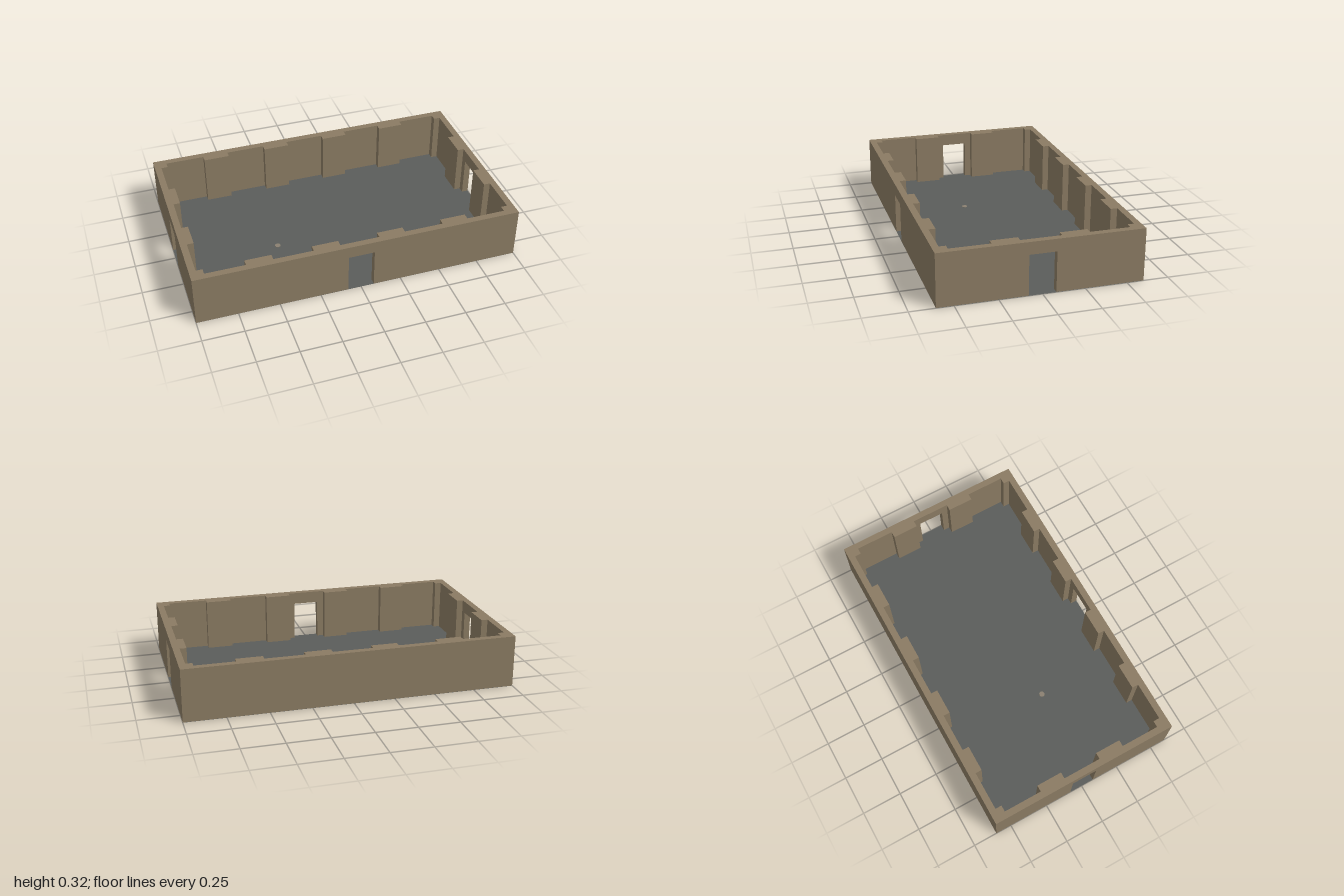
import * as THREE from 'three';

const H = 0.32, HALF_X = 1, HALF_Z = 0.6, T = 0.04; // wall height, half sizes, shell thickness
const BASE = 0.001; // walls rest just above the floor sheet
const DOOR_W = 0.16, DOOR_H = 0.245;

export function createModel() {
  const wallMat = new THREE.MeshStandardMaterial({ color: 0x8b7b63 });
  wallMat.name = 'sandstone';
  const floorMat = new THREE.MeshStandardMaterial({ color: 0x5a5d5a, side: THREE.DoubleSide });
  floorMat.name = 'slate';
  const markMat = new THREE.MeshStandardMaterial({ color: 0x8a8071 });
  markMat.name = 'pebble';

  const room = new THREE.Group();
  room.name = 'room';

  const add = (parent, name, geometry, material) => {
    const mesh = new THREE.Mesh(geometry, material);
    mesh.name = name;
    parent.add(mesh);
    return mesh;
  };

  // One wall: a thin shell with an optional doorway, and pilasters on its inner face.
  // Local +z points outwards; the outer face lies at z = 0.
  function makeWall(name, halfLength, pilasters, hasDoor) {
    const wall = new THREE.Group();
    wall.name = name;
    const shape = new THREE.Shape();
    shape.moveTo(-halfLength, BASE);
    if (hasDoor) {
      shape.lineTo(-DOOR_W / 2, BASE);
      shape.lineTo(-DOOR_W / 2, DOOR_H);
      shape.lineTo(DOOR_W / 2, DOOR_H);
      shape.lineTo(DOOR_W / 2, BASE);
    }
    shape.lineTo(halfLength, BASE);
    shape.lineTo(halfLength, H);
    shape.lineTo(-halfLength, H);
    const shell = new THREE.ExtrudeGeometry(shape, { depth: T, bevelEnabled: false });
    add(wall, 'wallShell', shell.translate(0, 0, -T), wallMat);
    for (const x of pilasters) {
      const box = new THREE.BoxGeometry(0.16, H - BASE, T);
      add(wall, 'pilaster', box, wallMat).position.set(x, (H + BASE) / 2, -1.5 * T);
    }
    room.add(wall);
    return wall;
  }

  // Long walls, doorway in the front one only
  const longPilasters = [-0.6, -0.2, 0.2, 0.6];
  makeWall('frontWall', HALF_X, longPilasters, true).position.z = HALF_Z;
  const back = makeWall('backWall', HALF_X, longPilasters, false);
  back.position.z = -HALF_Z;
  back.rotation.y = Math.PI;

  // Short walls, each with a doorway
  for (const side of [1, -1]) {
    const wall = makeWall(side > 0 ? 'leftWall' : 'rightWall', HALF_Z - T, [-0.2, 0.2], true);
    wall.position.x = side * HALF_X;
    wall.rotation.y = side * Math.PI / 2;
  }

  // Small posts in the four inner corners
  for (const sx of [1, -1]) for (const sz of [1, -1]) {
    add(room, 'cornerPost', new THREE.BoxGeometry(T, H - BASE, T), wallMat)
      .position.set(sx * (HALF_X - 1.5 * T), (H + BASE) / 2, sz * (HALF_Z - 1.5 * T));
  }

  // Floor sheet
  const floor = new THREE.PlaneGeometry(2 * HALF_X, 2 * HALF_Z).rotateX(-Math.PI / 2);
  add(room, 'floor', floor, floorMat);

  // Small flat stone on the floor
  add(room, 'floorStone', new THREE.CylinderGeometry(0.018, 0.018, 0.003, 8), markMat)
    .position.set(-0.37, 0.002, 0.08);

  return room;
}
